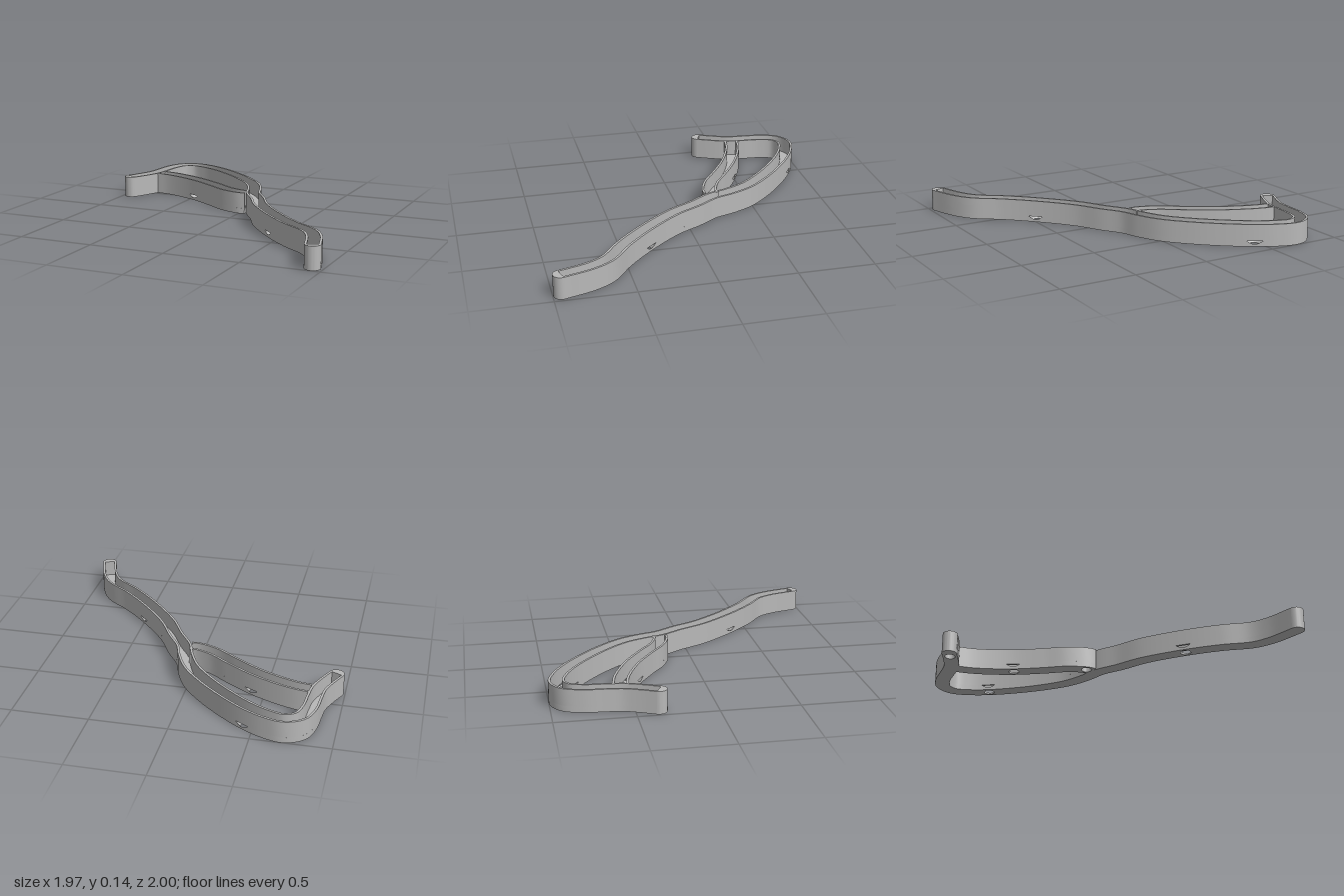
import * as THREE from 'three';
import { toCreasedNormals } from 'three/addons/utils/BufferGeometryUtils.js';

const HALF = 0.05, INNER = 0.035, FLOOR = 0.037, HEIGHT = 0.145;
const HOLE = 0.035, SINK = 0.07;

// Path in plan with arc-length offsets: at(s, d) is a point d sideways of the centre line.
function makePath(points) {
  const curve = new THREE.CatmullRomCurve3(points.map(([x, z]) => new THREE.Vector3(x, 0, z)));
  curve.arcLengthDivisions = 800;
  const length = curve.getLength();
  const at = (s, d) => {
    const u = THREE.MathUtils.clamp(s / length, 0, 1);
    const p = curve.getPointAt(u), t = curve.getTangentAt(u);
    return new THREE.Vector2(p.x - d * t.z, p.z + d * t.x);
  };
  const nearest = (x, z) => {
    let best = 0, min = Infinity;
    for (let i = 0; i <= 1000; i++) {
      const p = at((i / 1000) * length, 0), q = Math.hypot(p.x - x, p.y - z);
      if (q < min) { min = q; best = (i / 1000) * length; }
    }
    return best;
  };
  return { curve, length, at, nearest };
}

// Upright prism over a plan outline of (x, z) points.
function prism(outline, y0, y1) {
  const shape = new THREE.Shape(outline.map((p) => new THREE.Vector2(p.x, -p.y)));
  const geo = new THREE.ExtrudeGeometry(shape, { depth: y1 - y0, bevelEnabled: false });
  geo.rotateX(-Math.PI / 2).translate(0, y0, 0);
  return toCreasedNormals(geo, 0.5);
}

// Strip along the path between two side offsets.
function strip(path, s0, s1, d0, d1, y0, y1) {
  const n = Math.max(2, Math.ceil((s1 - s0) / 0.02)), a = [], b = [];
  for (let i = 0; i <= n; i++) {
    const s = s0 + ((s1 - s0) * i) / n;
    a.push(path.at(s, d0));
    b.unshift(path.at(s, d1));
  }
  return prism([...a, ...b], y0, y1);
}

// Floor piece with a round hole; a countersink cone may break out through the sides.
function holePatch(path, s, reach, sunk) {
  const angles = [], corner = Math.atan2(HALF, reach);
  for (let i = 0; i < 64; i++) angles.push((i / 64) * Math.PI * 2);
  angles.push(corner, Math.PI - corner, Math.PI + corner, Math.PI * 2 - corner);
  angles.sort((p, q) => p - q);
  angles.push(Math.PI * 2);
  const cone = (r) => (sunk ? Math.min(FLOOR, FLOOR - (SINK - r)) : FLOOR);
  const rings = angles.map((a) => {
    const c = Math.cos(a), sn = Math.sin(a);
    const R = Math.min(reach / Math.max(Math.abs(c), 1e-6), HALF / Math.max(Math.abs(sn), 1e-6));
    const rc = sunk ? Math.min(SINK, R) : HOLE;
    return [[HOLE, 0], [HOLE, cone(HOLE)], [rc, cone(rc)], [R, cone(R)], [R, 0], [HOLE, 0]].map(([r, y]) => {
      const p = path.at(s + r * c, r * sn);
      return [p.x, y, p.y];
    });
  });
  const pos = [];
  for (let i = 0; i + 1 < rings.length; i++) {
    const A = rings[i], B = rings[i + 1];
    for (let j = 0; j < 5; j++) pos.push(...A[j], ...B[j], ...A[j + 1], ...A[j + 1], ...B[j], ...B[j + 1]);
  }
  const geo = new THREE.BufferGeometry();
  geo.setAttribute('position', new THREE.Float32BufferAttribute(pos, 3));
  return toCreasedNormals(geo, 0.5);
}

// Half-round solid end.
function endCap(path, atEnd) {
  const s = atEnd ? path.length : 0;
  const c = path.at(s, 0), side = path.at(s, 1).sub(c);
  const out = path.curve.getTangentAt(atEnd ? 1 : 0).multiplyScalar(atEnd ? 1 : -1);
  const pts = [];
  for (let i = 0; i <= 20; i++) {
    const a = (i / 20) * Math.PI, u = HALF * Math.cos(a), v = HALF * Math.sin(a);
    pts.push(new THREE.Vector2(c.x + side.x * u + out.x * v, c.y + side.y * u + out.z * v));
  }
  return prism(pts, 0, HEIGHT);
}

export function createModel() {
  const model = new THREE.Group();
  const grey = new THREE.MeshStandardMaterial({ color: 0xb8b8b8 });
  grey.name = 'grey plastic';

  // Open channel: two walls over a floor interrupted by hole pieces.
  function channel(name, points, holes) {
    const group = new THREE.Group();
    group.name = name;
    const add = (part, geo) => {
      const mesh = new THREE.Mesh(geo, grey);
      mesh.name = part;
      group.add(mesh);
    };
    const path = makePath(points);
    add('leftWall', strip(path, 0, path.length, -HALF, -INNER, FLOOR, HEIGHT));
    add('rightWall', strip(path, 0, path.length, INNER, HALF, FLOOR, HEIGHT));
    let from = 0;
    for (const [x, z, sunk] of holes) {
      const s = path.nearest(x, z), reach = sunk ? 0.08 : 0.04;
      if (s - reach > from) add('floor', strip(path, from, s - reach, -HALF, HALF, 0, FLOOR));
      add(sunk ? 'countersunkHole' : 'plainHole', holePatch(path, s, reach, sunk));
      from = s + reach;
    }
    if (from < path.length) add('floor', strip(path, from, path.length, -HALF, HALF, 0, FLOOR));
    model.add(group);
    return { add, path };
  }

  // Long curved channel with rounded ends
  const main = channel('mainChannel', [
    [-0.94, -0.36], [-0.89, -0.465], [-0.855, -0.56], [-0.843, -0.66], [-0.83, -0.8], [-0.79, -0.905],
    [-0.7, -0.95], [-0.59, -0.925], [-0.46, -0.86], [-0.31, -0.752], [-0.155, -0.615], [-0.025, -0.465],
    [0.045, -0.325], [0.09, -0.195], [0.18, -0.055], [0.275, 0.115], [0.465, 0.345], [0.64, 0.515],
    [0.805, 0.645], [0.875, 0.76], [0.935, 0.947],
  ], [[-0.92, -0.403, false], [-0.46, -0.86, true], [0.465, 0.345, true]]);
  main.add('startCap', endCap(main.path, false));
  main.add('endCap', endCap(main.path, true));

  // Branch closing the loop
  channel('branchChannel', [
    [-0.815, -0.575], [-0.72, -0.56], [-0.605, -0.523], [-0.44, -0.448], [-0.26, -0.335],
    [-0.13, -0.245], [-0.01, -0.2], [0.042, -0.2],
  ], [[-0.44, -0.448, true], [-0.005, -0.2, false]]);

  return model;
}
